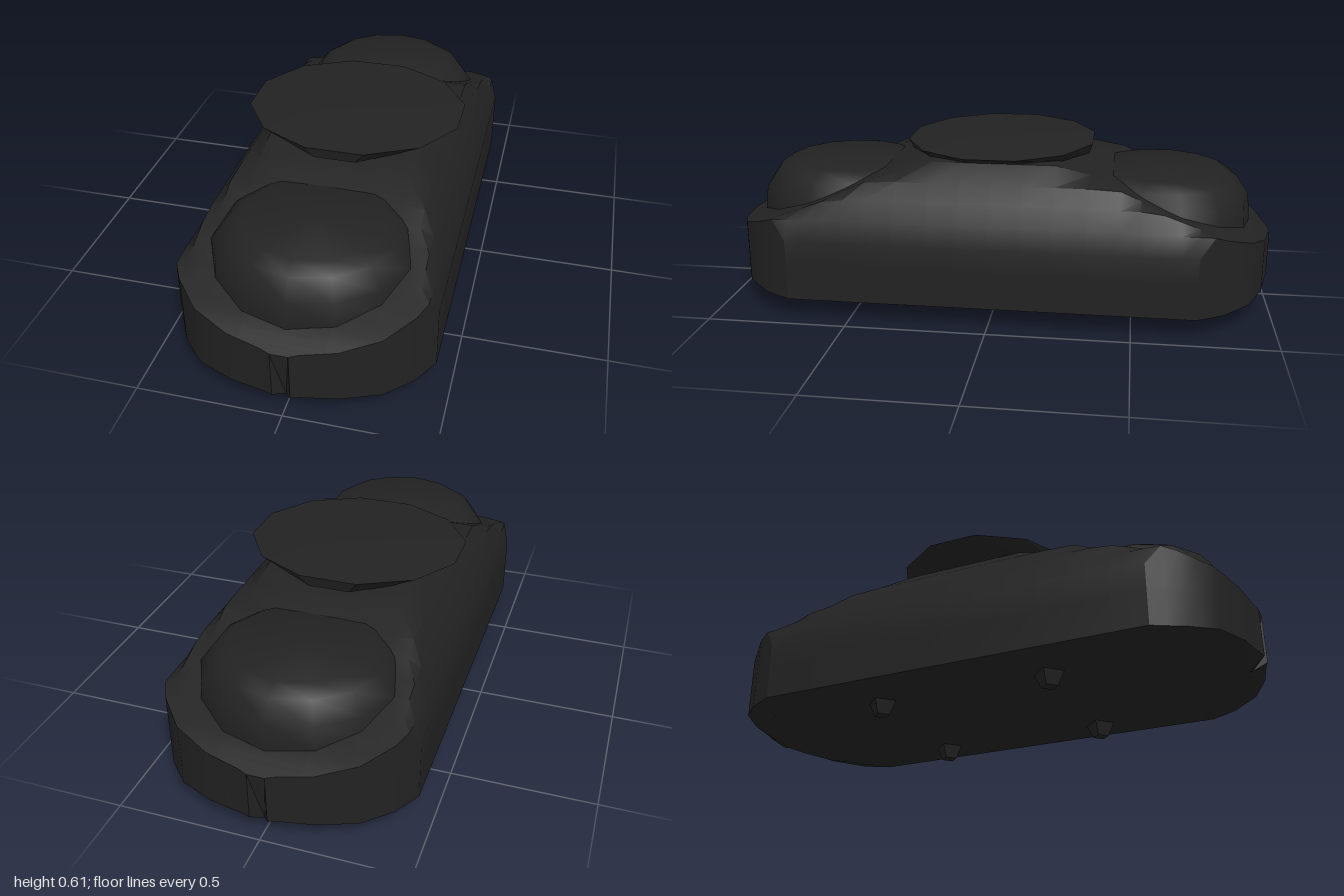
import * as THREE from 'three';
import { toCreasedNormals } from 'three/addons/utils/BufferGeometryUtils.js';

const material = new THREE.MeshStandardMaterial({ color: 0x222222 });

// Linear interpolation through [position, value] pairs
function along(table, t) {
  for (let i = 1; i < table.length; i++) {
    const [a, va] = table[i - 1], [b, vb] = table[i];
    if (t <= b) return va + (vb - va) * Math.max(0, (t - a) / (b - a));
  }
  return table[table.length - 1][1];
}

// Plan half-width by |z|, arch height by |x|, end ramp height by |z|, lower edge by |z|
const width = [[0, 0.445], [0.72, 0.445], [0.82, 0.39], [0.91, 0.305], [0.965, 0.18], [0.99, 0.06], [1, 0.03]];
const arch = [[0, 0.565], [0.27, 0.55], [0.34, 0.49], [0.385, 0.43], [0.42, 0.36], [0.445, 0.29]];
const ramp = [[0, 0.57], [0.22, 0.56], [0.45, 0.485], [0.6, 0.42], [0.92, 0.305], [1, 0.262]];
const edge = [[0, 0.07], [0.8, 0.07], [1, 0.088]];

function sectionAt(z) {
  const d = Math.abs(z), w = along(width, d);
  const half = [[Math.max(0, w - 0.1), 0.05], [w, along(edge, d)], [w, 0.2]];
  for (const x of [0.445, 0.42, 0.385, 0.34, 0.27, 0.14]) {
    const px = Math.min(x, w);
    half.push([px, Math.min(along(arch, px), along(ramp, d))]);
  }
  const other = half.map(([x, y]) => [-x, y]).reverse();
  return [...half, ...other];
}

// Long rounded hull built from cross-sections along z
function hullGeometry() {
  const zs = [0, 0.11, 0.22, 0.34, 0.45, 0.52, 0.6, 0.66, 0.72, 0.77, 0.82, 0.865, 0.91, 0.94, 0.965, 0.98, 0.99, 1];
  const stations = [...zs.slice(1).reverse().map((z) => -z), ...zs];
  const positions = [], index = [];
  const n = sectionAt(0).length;
  for (const z of stations) {
    // the underside tucks in at the two ends
    for (const [x, y] of sectionAt(z)) positions.push(x, y, y < 0.06 ? z * (Math.abs(z) > 0.8 ? 0.95 : 1) : z);
  }
  for (let s = 0; s < stations.length - 1; s++) {
    for (let i = 0; i < n; i++) {
      const a = s * n + i, b = s * n + (i + 1) % n, c = a + n, d = b + n;
      index.push(a, b, c, b, d, c);
    }
  }
  const last = (stations.length - 1) * n;
  for (let i = 1; i < n - 1; i++) {
    index.push(0, i + 1, i);
    index.push(last, last + i, last + i + 1);
  }
  const geometry = new THREE.BufferGeometry();
  geometry.setAttribute('position', new THREE.Float32BufferAttribute(positions, 3));
  geometry.setIndex(index);
  return geometry;
}

function lathe(profile, segments, phase = 0) {
  const points = profile.map(([r, y]) => new THREE.Vector2(r, y));
  return new THREE.LatheGeometry(points, segments, phase);
}

// Oval cap with a thin lip at the sides and a deep one at the ends
function capGeometry() {
  const geometry = lathe([[0, 0.54], [1, 0.55], [1, 0.592], [0.55, 0.608], [0, 0.61]], 12, Math.PI / 12);
  const p = geometry.attributes.position;
  for (let i = 0; i < p.count; i++) {
    const low = p.getY(i) < 0.56;
    p.setX(i, p.getX(i) * (low ? 0.28 : 0.4));
    p.setZ(i, p.getZ(i) * (low ? 0.34 : 0.352));
  }
  return geometry;
}

export function createModel() {
  const group = new THREE.Group();
  const add = (name, geometry, crease = 0.6) => {
    const mesh = new THREE.Mesh(toCreasedNormals(geometry, crease), material);
    mesh.name = name;
    group.add(mesh);
    return mesh;
  };

  add('body', hullGeometry(), 0.5);
  add('topCap', capGeometry(), 0.4);

  // Domed end pads
  for (const side of [1, -1]) {
    const profile = [[0.335, 0.2], [0.335, 0.31], [0.325, 0.4], [0.28, 0.465], [0.235, 0.495], [0, 0.498]];
    const dome = add(side > 0 ? 'frontDome' : 'backDome', lathe(profile, 14), 0.7);
    dome.position.z = side * 0.59;
    dome.scale.x = 1.06;
  }

  // Four small feet
  for (const x of [0.27, -0.27]) {
    for (const z of [0.32, -0.33]) {
      const foot = add('foot', new THREE.CylinderGeometry(0.06, 0.03, 0.06, 4), 0.3);
      foot.position.set(x, 0.03, z);
    }
  }
  return group;
}
